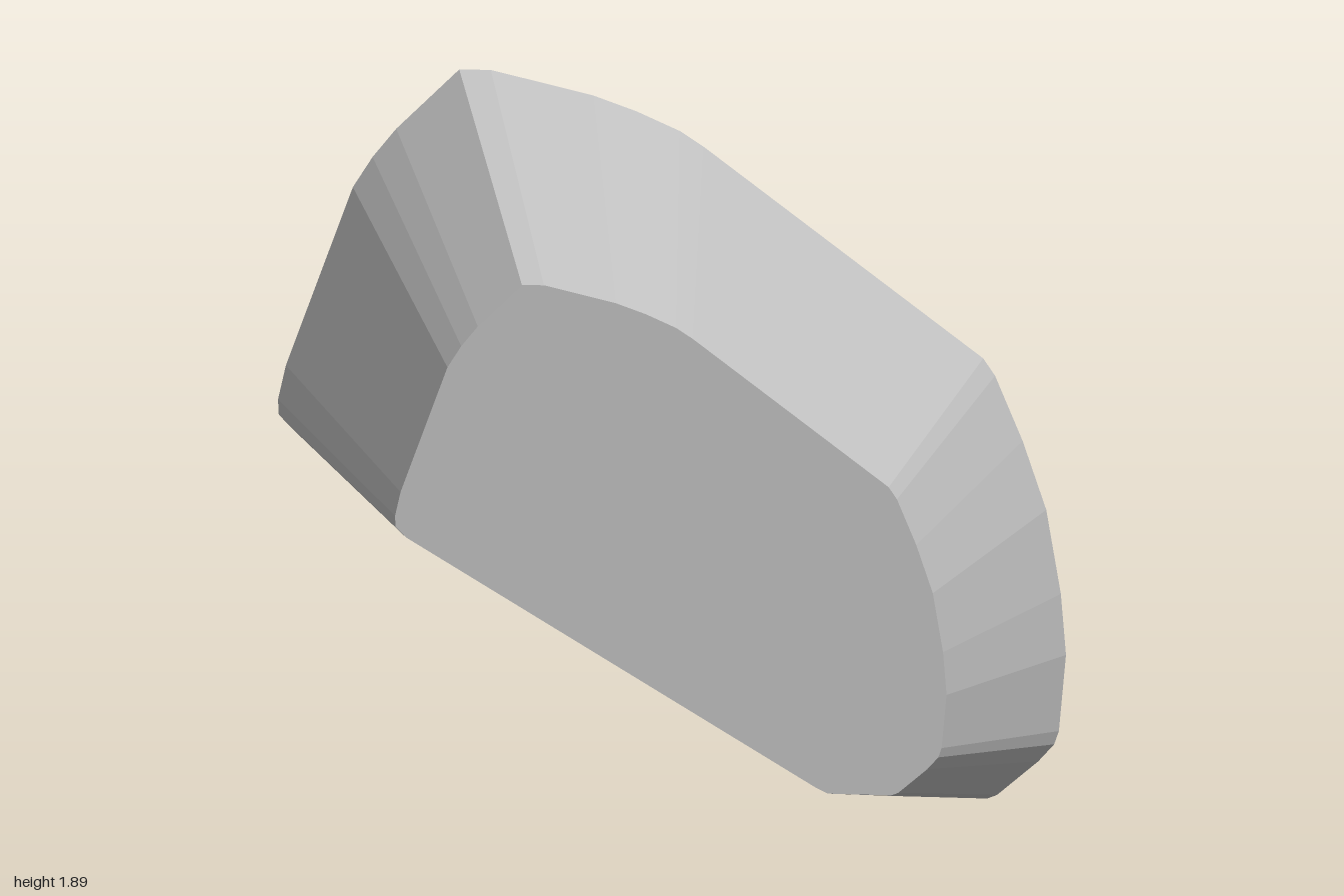
import * as THREE from 'three';

export function createModel() {
  const group = new THREE.Group();
  group.name = 'taperedBlock';
  const grey = new THREE.MeshStandardMaterial({ color: 0xc0c0c0, flatShading: true });
  grey.name = 'plain grey';

  // Rounded outline of the large back face, counter-clockwise from the bottom
  const outline = [
    [0.57, 0.003], [0.8, 0], [0.825, 0.01], [0.93, 0.1], [0.97, 0.145], [0.982, 0.18],
    [1, 0.38], [0.987, 0.54], [0.95, 0.76], [0.89, 0.94], [0.82, 1.11], [0.79, 1.155],
    [0.08, 1.7], [0.02, 1.74], [-0.09, 1.79], [-0.2, 1.83], [-0.46, 1.893], [-0.54, 1.893],
    [-0.7, 1.735], [-0.76, 1.66], [-0.81, 1.58], [-0.98, 1.11], [-1, 1.02], [-0.998, 0.98],
    [-0.96, 0.94], [0.53, 0.022],
  ];
  const shape = new THREE.Shape(outline.map(([x, y]) => new THREE.Vector2(x, y)));
  const geometry = new THREE.ExtrudeGeometry(shape, { depth: 1.02, bevelEnabled: false });
  geometry.translate(0, 0, -0.51);

  // Taper: shrink the front outline to 70% and shift it
  const pos = geometry.attributes.position;
  for (let i = 0; i < pos.count; i++) {
    if (pos.getZ(i) > 0) {
      pos.setXY(i, pos.getX(i) * 0.7 + 0.055, pos.getY(i) * 0.7 + 0.28);
    }
  }
  geometry.computeVertexNormals();

  const block = new THREE.Mesh(geometry, grey);
  block.name = 'block';
  group.add(block);
  return group;
}
